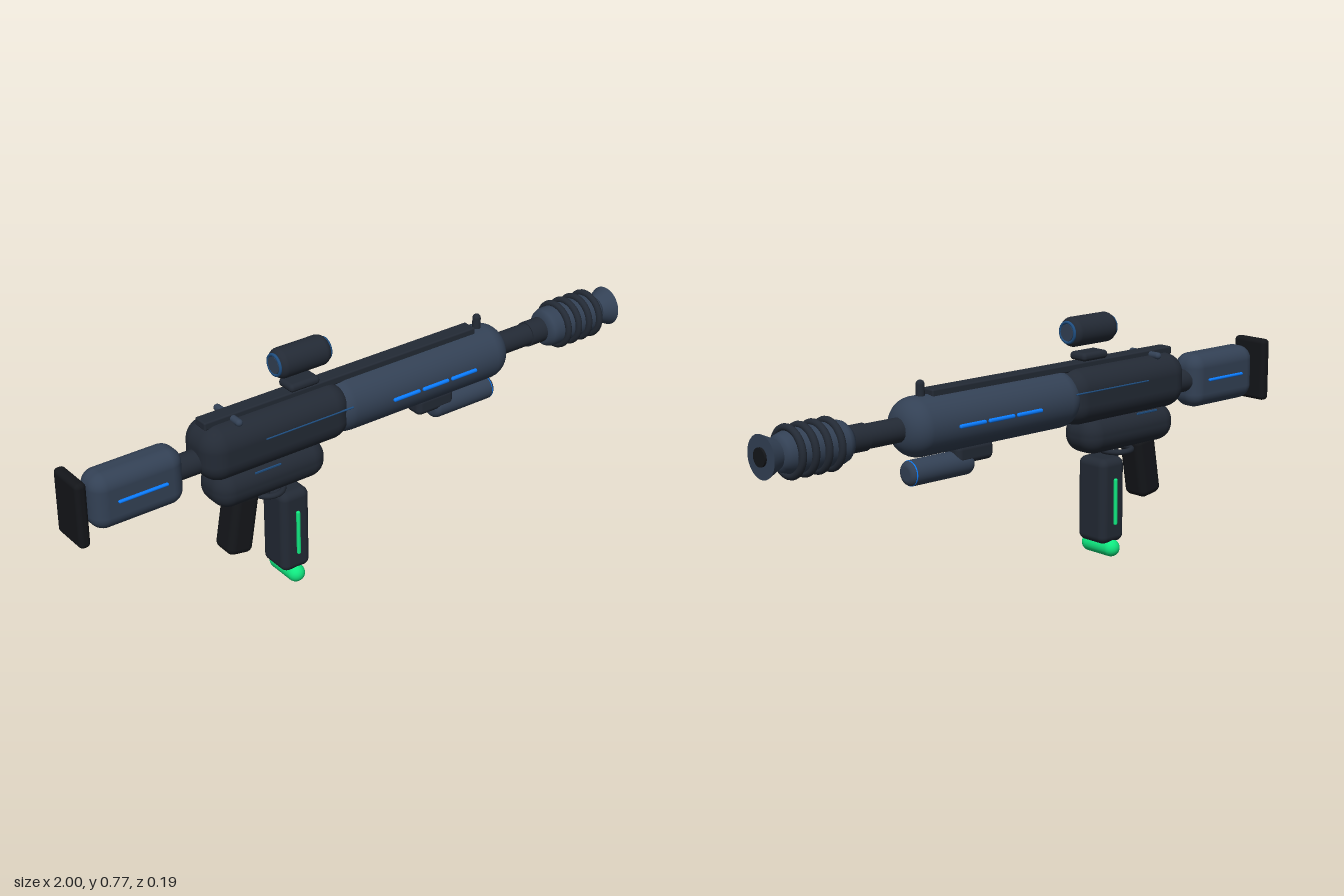
import * as THREE from 'three';
import { RoundedBoxGeometry } from 'three/addons/geometries/RoundedBoxGeometry.js';

const mat = (color) => new THREE.MeshStandardMaterial({ color });

export function createModel() {
  const group = new THREE.Group();
  const dark = mat(0x232a35), slate = mat(0x334155), black = mat(0x14161a);
  const blue = mat(0x0a7cff), dimBlue = mat(0x1f4e80), green = mat(0x10e880);
  const AXIS = 0.527; // height of the barrel axis

  const add = (name, geometry, material, x, y, z = 0) => {
    const mesh = new THREE.Mesh(geometry, material);
    mesh.name = name;
    mesh.position.set(x, y, z);
    group.add(mesh);
    return mesh;
  };
  // Rounded block given by its extents in x and y
  const block = (name, material, x0, x1, y0, y1, depth, radius) =>
    add(name, new RoundedBoxGeometry(x1 - x0, y1 - y0, depth, 5, radius), material,
      (x0 + x1) / 2, (y0 + y1) / 2);
  // Solid turned around an axis along x; profile holds [x, radius]
  const turned = (name, material, y, profile) => {
    const points = profile.map(([x, r]) => new THREE.Vector2(r, x));
    return add(name, new THREE.LatheGeometry(points, 40).rotateZ(-Math.PI / 2), material, 0, y);
  };
  // Turned solid with quarter-round ends
  const roundedRod = (name, material, x0, x1, y, r, edge) => {
    const profile = [[x0, 0]];
    for (let i = 0; i <= 8; i++) {
      const a = (i / 8) * Math.PI / 2;
      profile.push([x0 + edge * (1 - Math.sin(a)), r - edge + edge * Math.cos(a)]);
    }
    profile.splice(1, 9, ...profile.slice(1).reverse());
    const end = profile.map(([x, rad]) => [x0 + x1 - x, rad]).reverse();
    return turned(name, material, y, [...profile, ...end]);
  };
  const rod = (name, material, x0, x1, y, r) =>
    add(name, new THREE.CylinderGeometry(r, r, x1 - x0, 32).rotateZ(Math.PI / 2), material, (x0 + x1) / 2, y);
  // Matching light strips on both sides
  const strips = (name, material, x0, x1, y0, y1, z, depth) => {
    for (const s of [-1, 1]) {
      block(name, material, x0, x1, y0, y1, depth, Math.min(y1 - y0, depth) * 0.45).position.z = s * z;
    }
  };

  // Shoulder stock
  block('buttPlate', black, -1, -0.965, 0.4, 0.605, 0.13, 0.014);
  block('stock', slate, -0.94, -0.645, 0.415, 0.59, 0.11, 0.045);
  strips('stockLight', blue, -0.87, -0.71, 0.501, 0.51, 0.056, 0.014);
  rod('stockTube', dark, -0.67, -0.56, 0.505, 0.037);

  // Upper body
  block('receiver', dark, -0.59, -0.08, 0.442, 0.615, 0.172, 0.065);
  roundedRod('handguard', slate, -0.14, 0.53, AXIS, 0.088, 0.065);
  strips('receiverLight', dimBlue, -0.4, -0.09, 0.549, 0.554, 0.085, 0.006);
  strips('receiverSeamLight', dimBlue, -0.44, -0.35, 0.449, 0.456, 0.084, 0.004);
  for (const x of [0.055, 0.165, 0.275]) {
    strips('handguardLight', blue, x, x + 0.1, 0.521, 0.533, 0.089, 0.013);
  }

  // Top rail and sights
  block('topRail', dark, -0.565, 0.42, 0.606, 0.631, 0.05, 0.005);
  add('rearSight', new THREE.CapsuleGeometry(0.011, 0.11, 6, 16).rotateX(Math.PI / 2), slate, -0.47, 0.616);
  add('frontSight', new THREE.CapsuleGeometry(0.013, 0.045, 6, 16), dark, 0.445, 0.625);

  // Scope
  block('scopeMount', dark, -0.275, -0.17, 0.632, 0.658, 0.068, 0.012);
  roundedRod('scope', dark, -0.31, -0.13, 0.724, 0.046, 0.024);
  for (const [x, s] of [[-0.31, -1], [-0.13, 1]]) {
    add('scopeLensRing', new THREE.TorusGeometry(0.031, 0.005, 10, 36).rotateY(Math.PI / 2), dimBlue, x - s * 0.002, 0.724);
    rod('scopeLens', slate, x - 0.002, x + 0.002, 0.724, 0.026);
  }

  // Barrel and ribbed muzzle
  rod('barrel', dark, 0.5, 0.73, AXIS, 0.036);
  rod('barrelCollar', dark, 0.65, 0.73, AXIS, 0.04);
  turned('muzzleBody', slate, AXIS, [
    [0.71, 0], [0.71, 0.045], [0.725, 0.058], [0.74, 0.063], [0.9, 0.063], [0.935, 0.052], [0.95, 0.038], [0.95, 0],
  ]);
  for (let i = 0; i < 4; i++) {
    add('muzzleRib', new THREE.TorusGeometry(0.067, 0.011, 12, 40).rotateY(Math.PI / 2), dark, 0.773 + i * 0.044, AXIS);
  }
  add('muzzleFlare', new THREE.CylinderGeometry(0.063, 0.042, 0.046, 40).rotateZ(-Math.PI / 2), slate, 0.97, AXIS);
  rod('bore', black, 0.96, 1, AXIS, 0.027);

  // Lamp under the handguard
  block('lampMount', dark, 0.195, 0.335, 0.395, 0.455, 0.07, 0.018);
  roundedRod('lamp', slate, 0.265, 0.503, 0.394, 0.038, 0.02);
  add('lampRing', new THREE.TorusGeometry(0.035, 0.003, 8, 36).rotateY(Math.PI / 2), blue, 0.488, 0.394);

  // Lower body, grip and trigger
  block('lowerReceiver', dark, -0.55, -0.165, 0.338, 0.458, 0.146, 0.055);
  const grip = block('grip', black, -0.043, 0.043, -0.1, 0.1, 0.09, 0.022);
  grip.position.set(-0.453, 0.262, 0);
  grip.rotation.z = -0.17;
  add('triggerGuard', new THREE.TorusGeometry(0.048, 0.009, 10, 36).rotateX(Math.PI / 2), dark, -0.345, 0.328);
  block('trigger', dark, -0.352, -0.338, 0.297, 0.345, 0.014, 0.005);

  // Glowing magazine
  block('magazine', dark, -0.33, -0.23, 0.045, 0.317, 0.118, 0.024);
  strips('magazineLight', green, -0.286, -0.274, 0.105, 0.255, 0.064, 0.012);
  add('magazineBase', new THREE.CapsuleGeometry(0.028, 0.09, 8, 24).rotateX(Math.PI / 2), green, -0.28, 0.028);

  return group;
}
